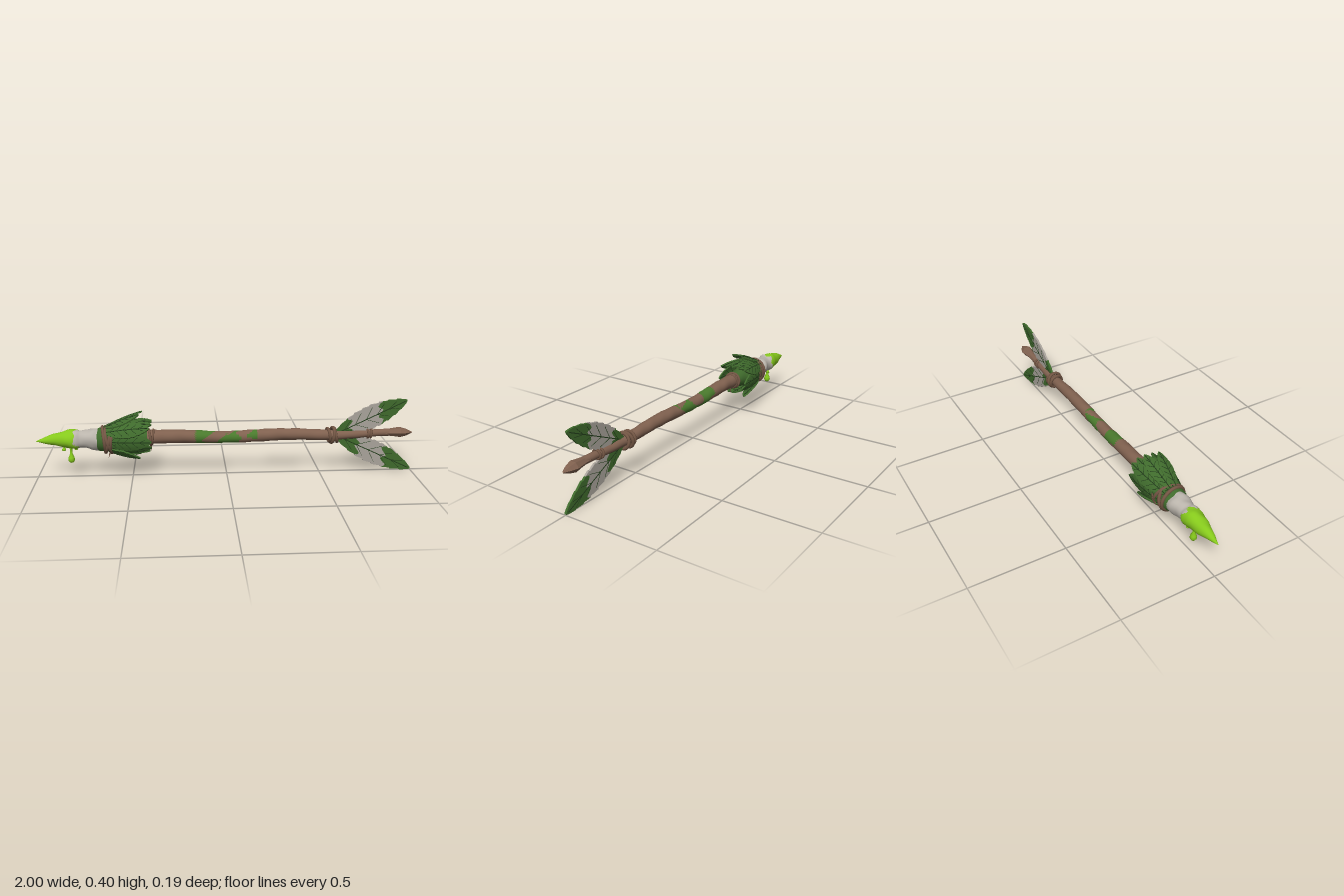
import * as THREE from 'three';
import { mergeVertices, mergeGeometries } from 'three/addons/utils/BufferGeometryUtils.js';

const colour = (name, hex) => {
  const m = new THREE.MeshStandardMaterial({ color: hex });
  m.name = name;
  return m;
};

// Height of the slightly crooked centre line
const axisY = x => 0.204 - 0.005 * Math.cos(x * Math.PI / 0.3) - 0.012 * Math.max(0, (-x - 0.75) / 0.25);
const lumps = (x, y, z) => Math.sin(x * 31 + y * 60) * Math.cos(z * 55 - x * 17) + 0.5 * Math.sin(x * 73 + z * 90);

// Round body along x from [x, radius] stations, with lumpy relief
function limb(stations, rings, sides, relief, squashY = 1) {
  const pts = [];
  for (let i = 0; i <= rings; i++) {
    const x = THREE.MathUtils.lerp(stations[0][0], stations.at(-1)[0], i / rings);
    let k = 0;
    while (k < stations.length - 2 && x > stations[k + 1][0]) k++;
    const [a, b] = [stations[k], stations[k + 1]];
    pts.push(new THREE.Vector2(THREE.MathUtils.mapLinear(x, a[0], b[0], a[1], b[1]), x));
  }
  let g = new THREE.LatheGeometry(pts, sides).rotateZ(-Math.PI / 2);
  g.deleteAttribute('uv');
  g.deleteAttribute('normal');
  g = mergeVertices(g, 1e-5);
  const p = g.attributes.position;
  for (let i = 0; i < p.count; i++) {
    const x = p.getX(i), y = p.getY(i), z = p.getZ(i);
    const f = 1 + relief * lumps(x, y, z);
    p.setXYZ(i, x, y * f * squashY + axisY(x), z * f);
  }
  g.computeVertexNormals();
  return g;
}

// Sort faces into two material groups by a rule on the face centre
function splitFaces(g, rule) {
  const p = g.attributes.position, lists = [[], []], c = new THREE.Vector3(), v = new THREE.Vector3();
  for (let i = 0; i < g.index.count; i += 3) {
    const f = [0, 1, 2].map(k => g.index.getX(i + k));
    c.set(0, 0, 0);
    f.forEach(n => c.add(v.fromBufferAttribute(p, n)));
    c.divideScalar(3);
    lists[rule(c) ? 1 : 0].push(...f);
  }
  g.setIndex([...lists[0], ...lists[1]]);
  g.addGroup(0, lists[0].length, 0);
  g.addGroup(lists[0].length, lists[1].length, 1);
  return g;
}

// Thin solid strip in leaf space: s along, w across, h through; map bends it into place
function strip(map, from, to, centre, half, h0, h1, ns, nw) {
  const g = new THREE.BoxGeometry(1, 1, 1, ns, 1, nw);
  const p = g.attributes.position;
  for (let i = 0; i < p.count; i++) {
    const u = -p.getZ(i) * 2;
    const s = THREE.MathUtils.lerp(from(u), to(u), p.getX(i) + 0.5);
    const v = map(s, centre(s) + u * half(s), p.getY(i) > 0 ? h1 : h0);
    p.setXYZ(i, v.x, v.y, v.z);
  }
  g.computeVertexNormals();
  return g;
}

const zero = () => 0, one = () => 1;
const outline = width => s => width * Math.pow(Math.max(0, Math.sin(Math.PI * s)), 0.75) * (1.04 - 0.13 * ((s * 9) % 1)) + 0.002;

// Midrib and paired side veins
function veins(map, width, h0, h1) {
  const parts = [strip(map, zero, () => 0.97, zero, () => 0.0022, h0, h1, 14, 1)];
  for (let s0 = 0.14; s0 < 0.75; s0 += 0.15) {
    for (const side of [-1, 1]) {
      parts.push(strip(map, () => s0, () => s0 + 0.13,
        s => side * (s - s0) / 0.13 * width * 0.8 * Math.sin(Math.PI * Math.min(0.9, s0 + 0.13)),
        () => 0.0012, h0, h1, 3, 1));
    }
  }
  return mergeGeometries(parts);
}

export function createModel() {
  const model = new THREE.Group();
  const wood = colour('wood', 0x80614f);
  const vine = colour('vine', 0x735644);
  const leaf = colour('leaf green', 0x3f6a2c);
  const dark = colour('vein green', 0x223d1a);
  const moss = colour('moss green', 0x4a7a2d);
  const slime = colour('slime green', 0x86c91c);
  const bone = colour('bone', 0xbbb5ac);
  const grey = colour('feather grey', 0xa9a39b);

  const add = (name, g, m, parent = model) => {
    const mesh = new THREE.Mesh(g, m);
    mesh.name = name;
    parent.add(mesh);
    return mesh;
  };
  const group = name => {
    const g = new THREE.Group();
    g.name = name;
    model.add(g);
    return g;
  };

  // Shaft with moss patches
  const shaft = limb([[-0.66, 0.042], [-0.4, 0.037], [-0.15, 0.034], [0, 0.031], [0.2, 0.033], [0.5, 0.029],
    [0.6, 0.024], [0.78, 0.019], [0.87, 0.02]], 110, 20, 0.035);
  add('shaft', splitFaces(shaft, c => Math.abs(c.x) < 0.165 &&
    Math.sin(c.x * 38 + c.z * 40) + Math.cos(c.y * 70 - c.x * 21) + (c.x < 0 ? 0.7 : 0.2) > 0.25), [wood, moss]);

  // Faceted nock
  const nock = limb([[0.83, 0.019], [0.88, 0.024], [0.935, 0.034], [0.9675, 0.022], [1, 0.003]], 5, 6, 0, 0.82).toNonIndexed();
  nock.computeVertexNormals();
  add('nock', nock, wood);

  // Bone point, front part coated in slime
  const point = limb([[-1, 0.001], [-0.95, 0.019], [-0.88, 0.037], [-0.82, 0.05], [-0.785, 0.051], [-0.77, 0.046],
    [-0.73, 0.05], [-0.7, 0.057], [-0.64, 0.052]], 56, 24, 0.06);
  add('point', splitFaces(point, c => c.x < -0.79 + 0.014 * Math.sin(c.z * 110 + c.y * 60)), [bone, slime]);

  // Drips hanging from the slime
  const drips = group('slimeDrips');
  const drip = (x, z, top, bottom, r) => {
    const h = top - bottom;
    const pts = [[0, 0], [0.6, 0.04], [1, 0.16], [0.85, 0.3], [0.4, 0.48], [0.32, 0.7], [0.6, 0.9], [1, 1]]
      .map(([a, b]) => new THREE.Vector2(a * r, bottom + b * h));
    add('drip', new THREE.LatheGeometry(pts, 16).translate(x, 0, z), slime, drips);
  };
  drip(-0.82, 0.003, 0.175, 0.073, 0.018);
  drip(-0.855, 0.012, 0.18, 0.142, 0.011);
  drip(-0.795, -0.014, 0.175, 0.138, 0.01);

  // Leafy collar: sleeve plus leaves flaring backwards
  const collar = group('leafCollar');
  add('sleeve', limb([[-0.685, 0.05], [-0.675, 0.062], [-0.6, 0.064], [-0.5, 0.055], [-0.42, 0.038]], 16, 20, 0.03), leaf, collar);
  const collarLeaf = (deg, length, tipRadius, width, x0 = -0.645) => {
    const t = THREE.MathUtils.degToRad(deg);
    const map = (s, w, h) => {
      const x = x0 + s * length;
      const r = 0.06 + (tipRadius - 0.06) * Math.pow(s, 1.3) + 0.012 * Math.sin(Math.PI * s) + h - 5 * w * w;
      return new THREE.Vector3(x, 0.206 + r * Math.cos(t) + w * Math.sin(t), r * Math.sin(t) - w * Math.cos(t));
    };
    add('leaf', strip(map, zero, one, zero, outline(width), -0.004, 0.004, 27, 6), leaf, collar);
    add('leafVeins', veins(map, width, -0.0055, 0.0055), dark, collar);
  };
  for (const side of [-1, 1]) {
    collarLeaf(side * 15, side > 0 ? 0.185 : 0.2, 0.136, 0.036);
    collarLeaf(side * 48, 0.24, 0.105, 0.042);
    collarLeaf(side * 92, 0.25, 0.085, 0.046);
    collarLeaf(side * 148, side > 0 ? 0.19 : 0.21, 0.112, 0.042);
    collarLeaf(side * 28, 0.25, 0.09, 0.036);
    collarLeaf(side * 118, 0.25, 0.078, 0.042);
  }
  collarLeaf(180, 0.24, 0.075, 0.04);
  collarLeaf(0, 0.25, 0.082, 0.036);

  // Vine bindings: [x, radius, tube, tilt about z, tilt about y]
  const bindings = group('vineBindings');
  for (const [x, r, tube, tz, ty] of [
    [-0.645, 0.066, 0.009, 0.1, 0.1], [-0.625, 0.07, 0.009, -0.22, 0.12], [-0.61, 0.071, 0.009, 0.3, -0.2],
    [-0.595, 0.071, 0.009, -0.12, -0.15], [-0.58, 0.069, 0.008, 0.16, 0.2],
    [-0.405, 0.041, 0.007, 0.12, 0.1], [-0.39, 0.039, 0.006, -0.1, 0],
    [0.545, 0.036, 0.008, 0.12, 0.1], [0.565, 0.04, 0.009, -0.15, 0.1], [0.585, 0.037, 0.008, 0.2, -0.1],
    [0.755, 0.023, 0.006, 0.05, 0.08], [0.775, 0.023, 0.006, -0.08, -0.05]]) {
    const ring = add('vineRing', new THREE.TorusGeometry(r, tube, 8, 32).rotateY(Math.PI / 2), vine, bindings);
    ring.position.set(x, axisY(x), 0);
    ring.rotation.set(0, ty, tz);
  }

  // Loose vine ends
  for (const [x, y, z, tilt] of [[-0.618, 0.122, 0.012, 2.85], [-0.575, 0.135, -0.015, 3.5], [-0.4, 0.155, 0.01, 3.3]]) {
    const end = add('vineEnd', new THREE.ConeGeometry(0.008, 0.05, 6), vine, bindings);
    end.position.set(x, y, z);
    end.rotation.z = tilt;
  }

  // Two banded leaf feathers in the upright plane
  const feather = (name, tipX, tipY, g0, g1) => {
    const f = group(name);
    const bx = 0.575, by = 0.202, width = 0.061;
    const d = new THREE.Vector2(tipX - bx, tipY - by), L = d.length();
    d.normalize();
    const map = (s, w, h) => new THREE.Vector3(bx + s * L * d.x - w * d.y, by + s * L * d.y + w * d.x, h);
    const edge = s0 => u => s0 + 0.035 * Math.sin(u * 7 + s0 * 20) + 0.05 * u * Math.sign(d.y);
    const band = (n, from, to, m) =>
      add(n, strip(map, from, to, zero, outline(width), -0.0055, 0.0055, 24, 12), m, f);
    band('featherBase', zero, edge(g0), leaf);
    band('featherBand', edge(g0), edge(g1), grey);
    band('featherTip', edge(g1), one, leaf);
    add('featherVeins', veins(map, width, -0.007, 0.007), dark, f);
  };
  feather('upperFeather', 0.962, 0.385, 0.22, 0.64);
  feather('lowerFeather', 1, 0.002, 0.3, 0.64);

  return model;
}
